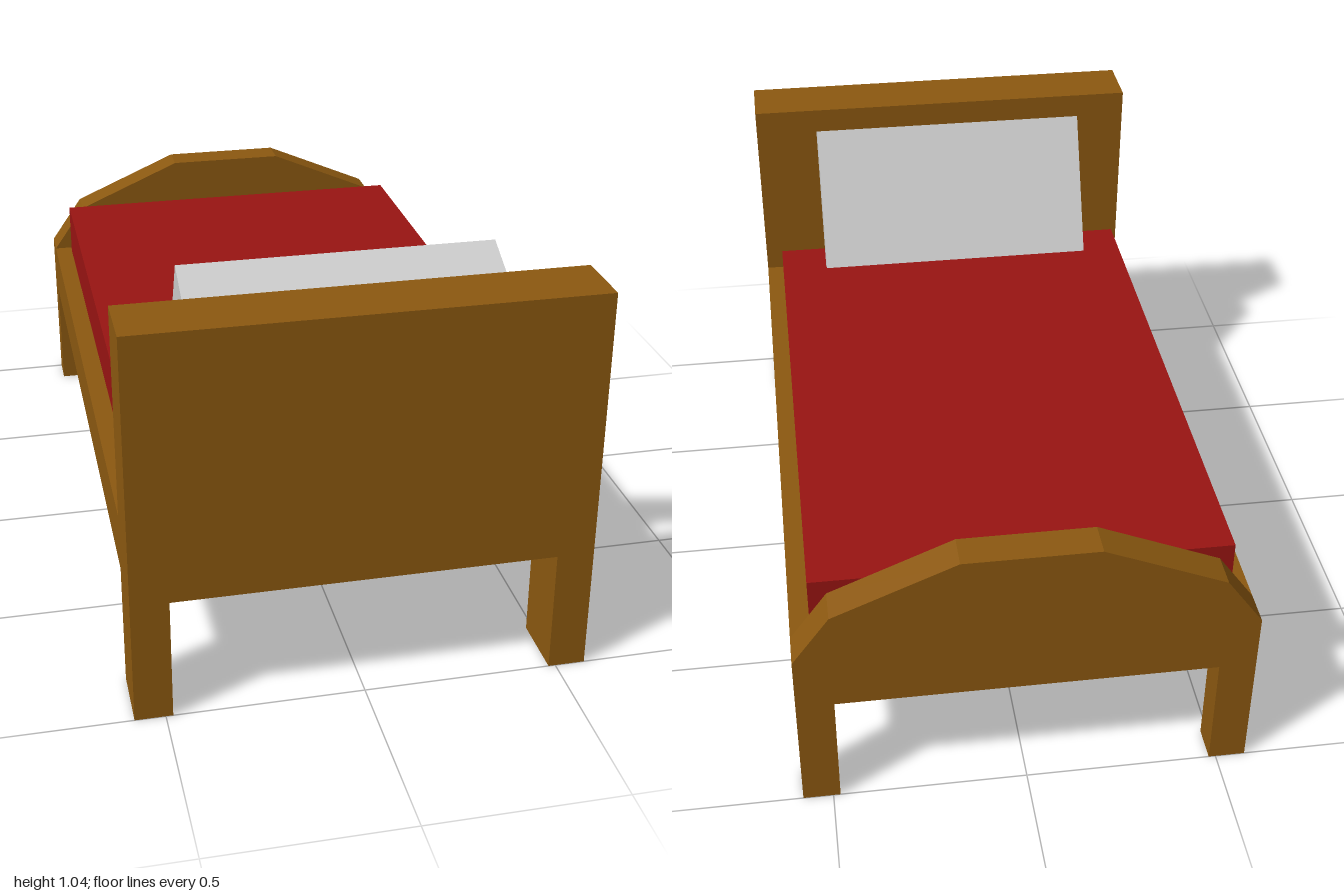
import * as THREE from 'three';

const wood = new THREE.MeshStandardMaterial({ color: 0x8b5810, flatShading: true });
const red = new THREE.MeshStandardMaterial({ color: 0x981412, flatShading: true });
const grey = new THREE.MeshStandardMaterial({ color: 0xcccccc, flatShading: true });

const HALF = 0.577;       // half width of the bed
const LEG = 0.482;        // inner edge of the legs
const RAIL = 0.327;       // underside of the frame
const DECK = 0.475;       // top of the frame

export function createModel() {
  const bed = new THREE.Group();
  bed.name = 'bed';

  function add(name, geometry, material, x, y, z) {
    const mesh = new THREE.Mesh(geometry, material);
    mesh.name = name;
    mesh.position.set(x, y, z);
    bed.add(mesh);
    return mesh;
  }

  // End board with two legs; topHalf lists the right half of its top edge, outside in
  function endBoard(name, topHalf, z0, z1) {
    const half = [[LEG, RAIL], [LEG, 0], [HALF, 0], ...topHalf];
    const mirrored = half.map(([x, y]) => [-x, y]).reverse();
    const shape = new THREE.Shape([...half, ...mirrored].map(([x, y]) => new THREE.Vector2(x, y)));
    const geometry = new THREE.ExtrudeGeometry(shape, { depth: z1 - z0, bevelEnabled: false });
    add(name, geometry, wood, 0, 0, z0);
  }

  endBoard('headboard', [[HALF, 1.028]], 0.83, 1);
  endBoard('footboard', [[HALF, DECK], [0.482, 0.61], [0.17, 0.745]], -1, -0.91);

  // Frame between the boards
  add('bedFrame', new THREE.BoxGeometry(2 * HALF, DECK - RAIL, 1.74), wood, 0, (DECK + RAIL) / 2, -0.04);

  add('mattress', new THREE.BoxGeometry(1.054, 0.15, 1.56), red, 0, 0.55, -0.104);

  // Pillow leaning back towards the headboard
  const pillow = add('pillow', new THREE.BoxGeometry(0.793, 0.412, 0.114), grey, -0.002, 0.832, 0.618);
  pillow.rotation.x = 0.467;

  return bed;
}
